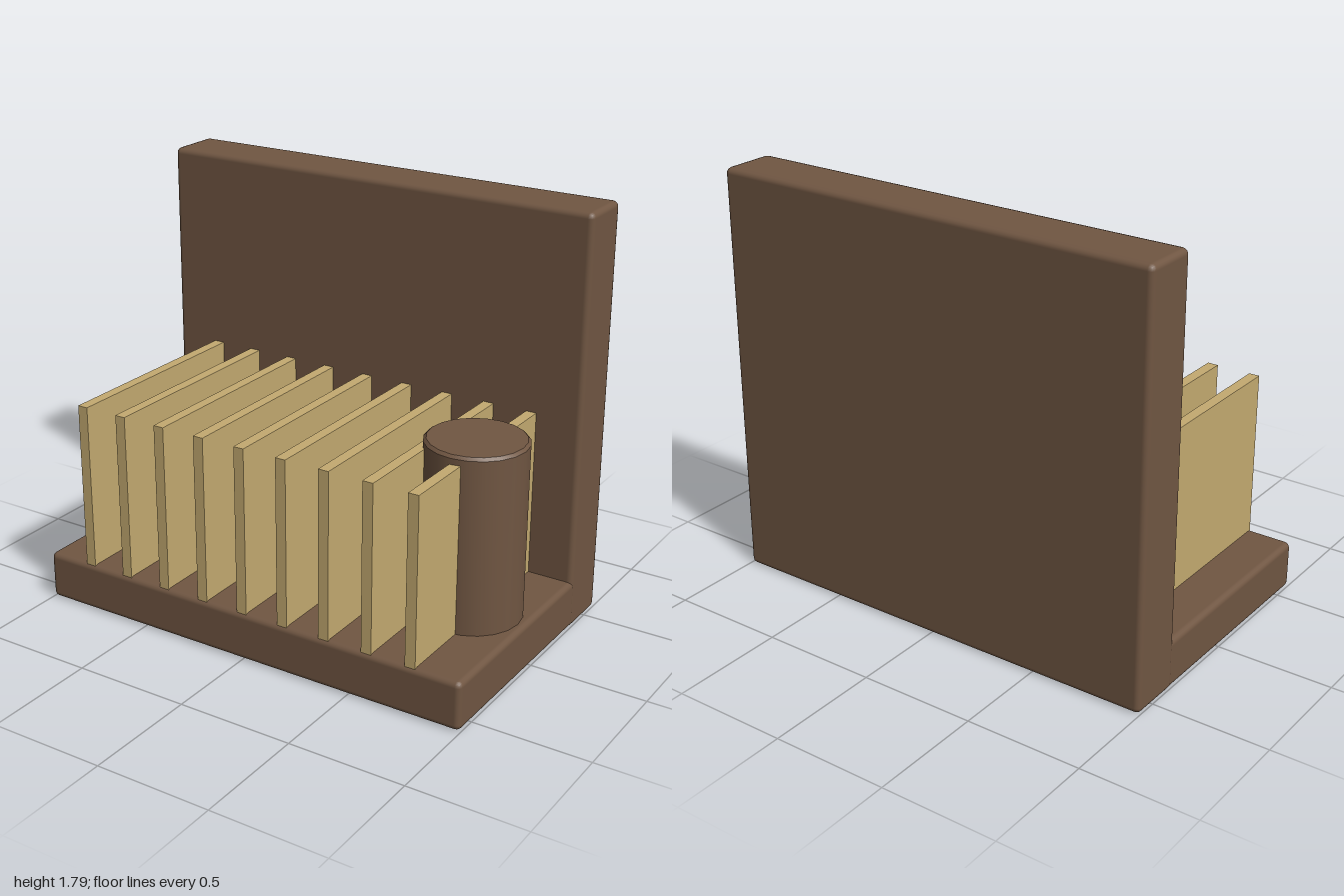
import * as THREE from 'three';
import { toCreasedNormals } from 'three/addons/utils/BufferGeometryUtils.js';
import { RoundedBoxGeometry } from 'three/addons/geometries/RoundedBoxGeometry.js';

export function createModel() {
  const group = new THREE.Group();
  const brown = new THREE.MeshStandardMaterial({ color: 0x705642 });
  brown.name = 'brown';
  const tan = new THREE.MeshStandardMaterial({ color: 0xc4aa70 });
  tan.name = 'tan';

  // Places a geometry so that it spans the given bounds
  const add = (name, geometry, material, x, y, z) => {
    const mesh = new THREE.Mesh(geometry, material);
    mesh.name = name;
    mesh.position.set(x, y, z);
    group.add(mesh);
  };
  const slab = (name, x0, x1, y0, y1, z0, z1) => add(
    name, new RoundedBoxGeometry(x1 - x0, y1 - y0, z1 - z0, 2, 0.025), brown,
    (x0 + x1) / 2, (y0 + y1) / 2, (z0 + z1) / 2);

  // Base slab and upright back panel
  slab('base', -1, 1, 0.003, 0.213, -0.39, 0.6);
  slab('backPanel', -1, 1, 0, 1.79, -0.6, -0.355);

  // Row of thin upright dividers
  const dividerGeometry = new THREE.BoxGeometry(0.046, 0.92, 0.97);
  for (let i = 0; i < 9; i++) {
    add('divider' + (i + 1), dividerGeometry, tan, (i - 4) * 0.195 - 0.003, 0.47, 0.105);
  }

  // Round post with a slightly bevelled top
  const r = 0.21, top = 0.967, bevel = 0.012;
  const profile = [[0, 0.1], [r, 0.1], [r, top - bevel], [r - bevel, top], [0, top]]
    .map(([x, y]) => new THREE.Vector2(x, y));
  add('post', toCreasedNormals(new THREE.LatheGeometry(profile, 20), 0.6), brown, 0.76, 0, 0.075);

  return group;
}
